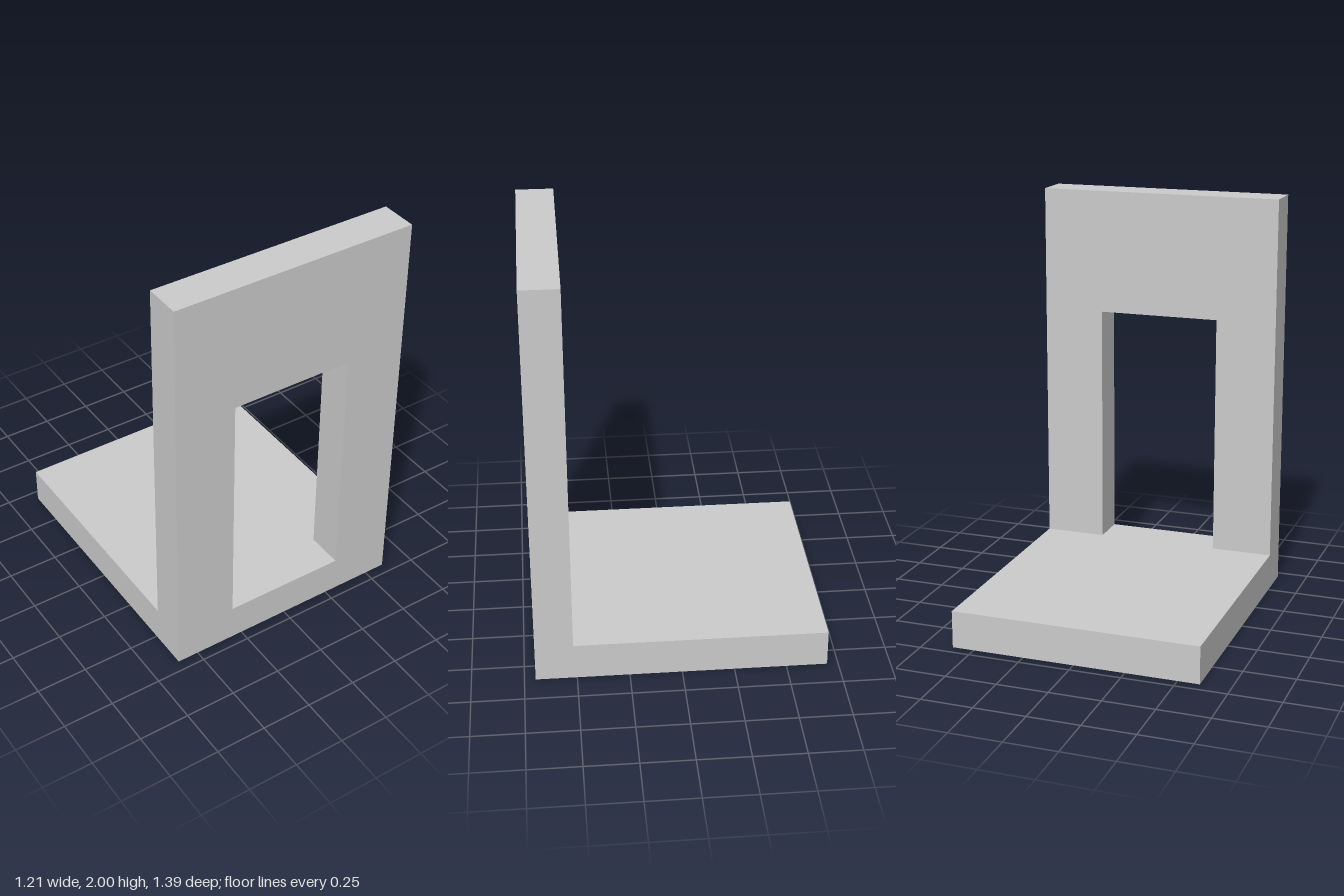
import * as THREE from 'three';

const WIDTH = 1.212, HEIGHT = 2, THICK = 0.182, DEPTH = 1.394;
const DOOR_WIDTH = 0.606, DOOR_TOP = 1.386;

// Counter-clockwise rectangle centred on x = 0
function rectangle(PathType, width, bottom, top) {
  const h = width / 2;
  return new PathType([
    new THREE.Vector2(-h, bottom), new THREE.Vector2(h, bottom),
    new THREE.Vector2(h, top), new THREE.Vector2(-h, top),
  ]);
}

export function createModel() {
  const group = new THREE.Group();
  group.name = 'doorwayWallOnSlab';
  const material = new THREE.MeshStandardMaterial({ color: 0xcccccc });

  // Upright wall with a doorway that starts level with the floor slab
  const outline = rectangle(THREE.Shape, WIDTH, 0, HEIGHT);
  outline.holes.push(rectangle(THREE.Path, DOOR_WIDTH, THICK, DOOR_TOP));
  const wall = new THREE.Mesh(
    new THREE.ExtrudeGeometry(outline, { depth: THICK, bevelEnabled: false }), material);
  wall.name = 'wall';
  wall.position.z = DEPTH / 2 - THICK;
  group.add(wall);

  // Floor slab running back from the wall
  const slab = new THREE.Mesh(new THREE.BoxGeometry(WIDTH, THICK, DEPTH - THICK), material);
  slab.name = 'floorSlab';
  slab.position.set(0, THICK / 2, -THICK / 2);
  group.add(slab);

  return group;
}
